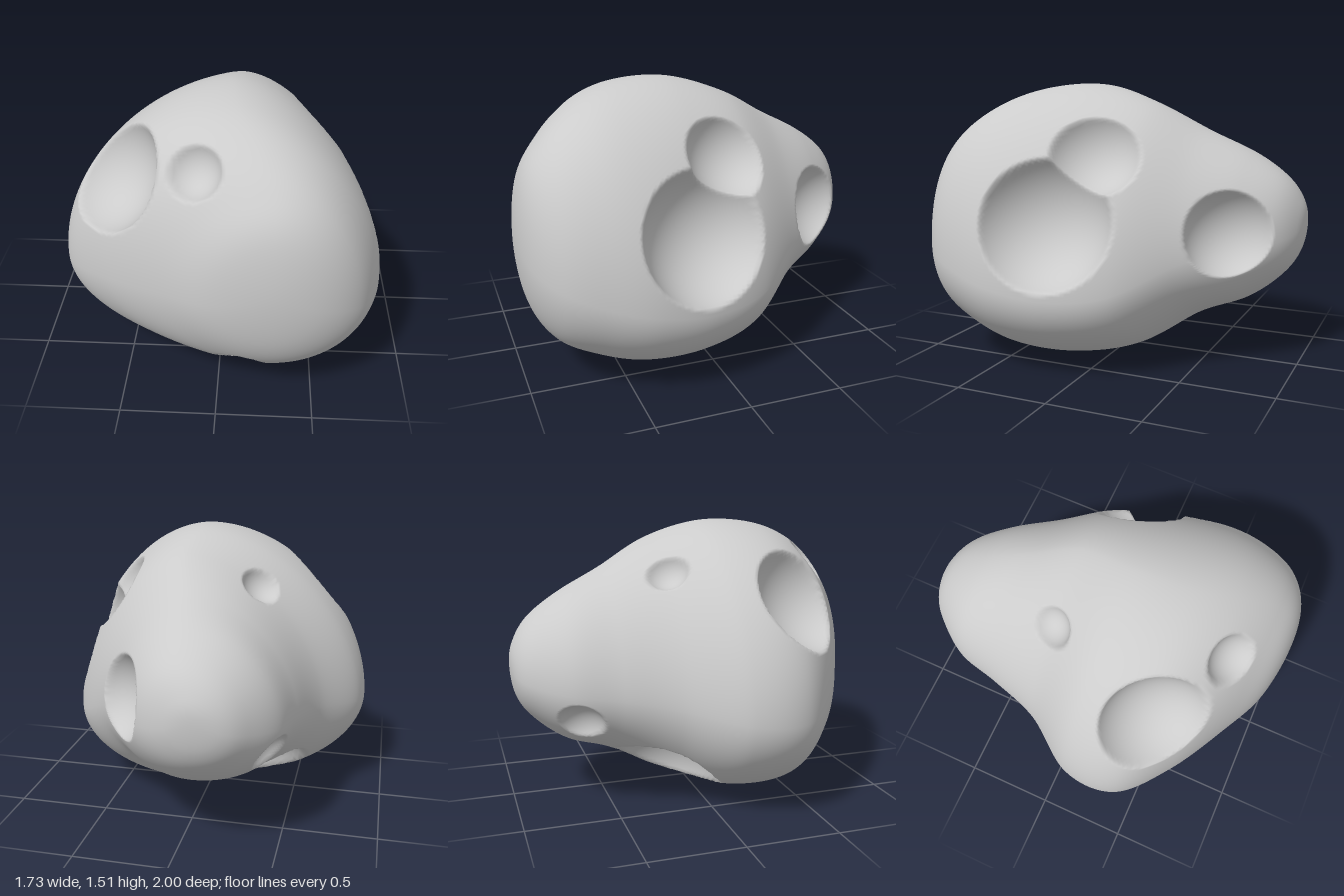
import * as THREE from 'three';
import { mergeVertices } from 'three/addons/utils/BufferGeometryUtils.js';

// Cross-sections from back to front:
// [z, left, right, bottom, top, height of widest left, height of widest right, top roundness]
const SECTIONS = [
  [-1.0, -0.12, -0.12, 0.77, 0.77, 0.77, 0.77, 2],
  [-0.975, -0.27, 0.03, 0.6, 0.89, 0.72, 0.72, 2],
  [-0.89, -0.38, 0.18, 0.47, 1.01, 0.69, 0.69, 2],
  [-0.72, -0.5, 0.33, 0.34, 1.13, 0.66, 0.66, 1.95],
  [-0.48, -0.56, 0.5, 0.25, 1.25, 0.63, 0.6, 1.8],
  [-0.2, -0.65, 0.72, 0.08, 1.4, 0.58, 0.46, 1.75],
  [0.1, -0.85, 0.83, 0.0, 1.49, 0.53, 0.43, 1.8],
  [0.4, -0.84, 0.86, 0.0, 1.48, 0.52, 0.47, 1.9],
  [0.64, -0.6, 0.81, 0.08, 1.4, 0.58, 0.53, 2],
  [0.84, -0.27, 0.71, 0.21, 1.25, 0.64, 0.6, 2],
  [0.96, -0.02, 0.53, 0.42, 1.06, 0.68, 0.67, 2],
  [1.0, 0.28, 0.28, 0.74, 0.74, 0.74, 0.74, 2],
];

// Craters: [x, y, z near the surface, rim radius]
const CRATERS = [
  [0.8, 0.82, 0.13, 0.33],
  [0.54, 1.15, -0.06, 0.225],
  [0.33, 0.75, -0.71, 0.23],
  [-0.53, 1.1, 0.47, 0.3],
  [-0.125, 1.28, 0.73, 0.14],
  [0.12, 0.22, 0.78, 0.132],
  [-0.23, 0.11, 0.57, 0.15],
  [-0.325, 1.26, -0.2, 0.108],
  [-0.29, 0.2, -0.19, 0.29],
  [-0.42, 0.54, -0.67, 0.125],
];

// Catmull-Rom interpolation between sections, t from 0 (back) to 1 (front);
// past either end the sections continue mirrored, so the tips stay round
function sectionAt(t) {
  const last = SECTIONS.length - 1;
  const i = Math.min(Math.floor(t * last), last - 1);
  const f = t * last - i;
  const row = (k) => {
    if (SECTIONS[k]) return SECTIONS[k];
    const [z, left, right, bottom, top, ...rest] = SECTIONS[k < 0 ? 1 : last - 1];
    return [z, right, left, top, bottom, ...rest];
  };
  const [a, b, c, d] = [row(i - 1), row(i), row(i + 1), row(i + 2)];
  return b.map((v, k) => v + 0.5 * f * (c[k] - a[k]
    + f * (2 * a[k] - 5 * v + 4 * c[k] - d[k] + f * (3 * (v - c[k]) + d[k] - a[k]))));
}

// Map a unit-sphere direction onto the lumpy body
function bodyPoint(p) {
  const t = Math.asin(THREE.MathUtils.clamp(p.z, -1, 1)) / Math.PI + 0.5;
  const [z, left, right, bottom, top, yLeft, yRight, roundness] = sectionAt(t);
  const angle = Math.atan2(p.y, p.x);
  let c = Math.cos(angle), s = Math.sin(angle);
  if (s > 0) {
    const k = (Math.abs(c) ** roundness + s ** roundness) ** (-1 / roundness);
    c *= k;
    s *= k;
  }
  const cx = left + (right - left) * 0.54;
  const cy = c > 0 ? yRight : yLeft;
  return p.set(
    cx + c * (c > 0 ? right - cx : cx - left),
    cy + s * (s > 0 ? top - cy : cy - bottom),
    z);
}

// Turn a rough surface position into a spherical bowl cutter
function makeCutter([x, y, z, radius], points, normals) {
  const target = new THREE.Vector3(x, y, z);
  let best = 0;
  points.forEach((p, i) => {
    if (p.distanceToSquared(target) < points[best].distanceToSquared(target)) best = i;
  });
  const normal = new THREE.Vector3().fromBufferAttribute(normals, best);
  const lift = 0.63 * radius - radius * radius / 1.6;
  return { normal, radius: radius * 1.18, center: points[best].clone().addScaledVector(normal, lift) };
}

// Push a point inside the cutter down to the floor of the bowl
function carve(p, { center, normal, radius }) {
  const offset = p.clone().sub(center);
  const distSq = offset.lengthSq();
  if (distSq >= radius * radius) return;
  const along = offset.dot(normal);
  p.addScaledVector(normal, -along - Math.sqrt(along * along + radius * radius - distSq));
}

export function createModel() {
  const raw = new THREE.IcosahedronGeometry(1, 66);
  raw.deleteAttribute('uv');
  raw.deleteAttribute('normal');
  const geometry = mergeVertices(raw, 1e-4);
  const position = geometry.attributes.position;

  // Smooth body
  const points = [];
  for (let i = 0; i < position.count; i++) {
    const p = bodyPoint(new THREE.Vector3().fromBufferAttribute(position, i));
    points.push(p);
    position.setXYZ(i, p.x, p.y, p.z);
  }
  geometry.computeVertexNormals();

  // Craters
  const cutters = CRATERS.map((c) => makeCutter(c, points, geometry.attributes.normal));
  points.forEach((p, i) => {
    cutters.forEach((cutter) => carve(p, cutter));
    position.setXYZ(i, p.x, p.y, p.z);
  });
  geometry.computeVertexNormals();

  const rock = new THREE.Mesh(geometry, new THREE.MeshStandardMaterial({ color: 0xcccccc }));
  rock.name = 'crateredRock';
  const group = new THREE.Group();
  group.name = 'asteroid';
  group.add(rock);
  return group;
}
